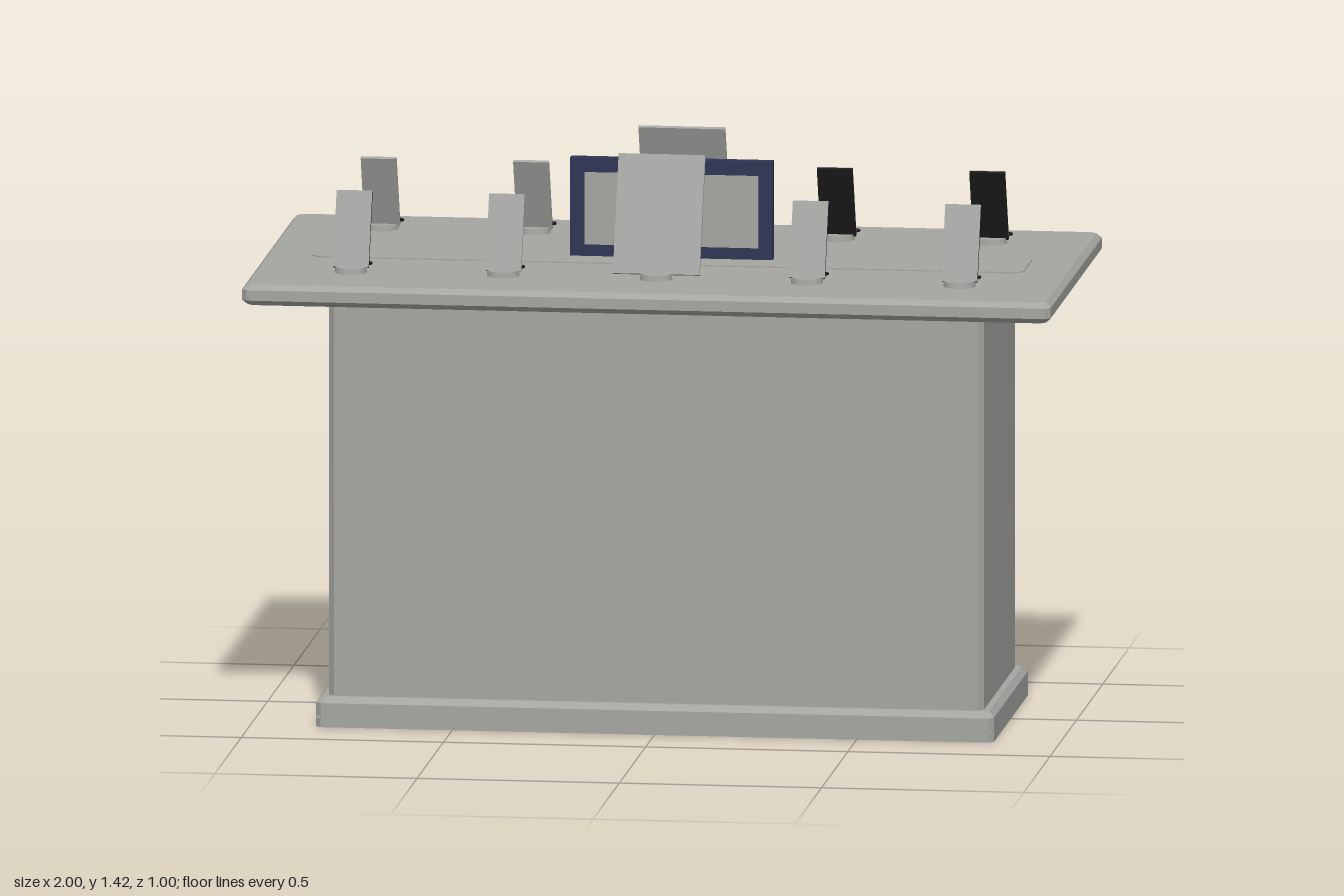
import * as THREE from 'three';

const grey = new THREE.MeshStandardMaterial({ color: 0xa5a5a2, side: THREE.DoubleSide });
grey.name = 'light grey';
const black = new THREE.MeshStandardMaterial({ color: 0x1c1c1c });
black.name = 'black';
const navy = new THREE.MeshStandardMaterial({ color: 0x2f3654 });
navy.name = 'navy';

function add(parent, name, geometry, material, x = 0, y = 0, z = 0) {
  const mesh = new THREE.Mesh(geometry, material);
  mesh.name = name;
  mesh.position.set(x, y, z);
  parent.add(mesh);
  return mesh;
}

// Block with chamfered corners, lofted through levels of [y, halfX, halfZ]
function chamferedBlock(levels, c, openBottom = false) {
  const positions = [];
  const index = [];
  for (const [y, x, z] of levels) {
    const ring = [
      [x, z - c], [x, c - z], [x - c, -z], [c - x, -z],
      [-x, c - z], [-x, z - c], [c - x, z], [x - c, z],
    ];
    for (const [px, pz] of ring) positions.push(px, y, pz);
  }
  const last = (levels.length - 1) * 8;
  for (let l = 0; l < last; l += 8) {
    for (let i = 0; i < 8; i++) {
      const j = (i + 1) % 8;
      index.push(l + i, l + j, l + 8 + j, l + i, l + 8 + j, l + 8 + i);
    }
  }
  for (let i = 1; i < 7; i++) {
    index.push(last, last + i, last + i + 1);
    if (!openBottom) index.push(0, i + 1, i);
  }
  const indexed = new THREE.BufferGeometry();
  indexed.setAttribute('position', new THREE.Float32BufferAttribute(positions, 3));
  indexed.setIndex(index);
  const geometry = indexed.toNonIndexed();
  geometry.computeVertexNormals();
  return geometry;
}

// Device leaning back on a round foot, screen towards its own +z
function createDevice(name, width, length, casing) {
  const device = new THREE.Group();
  device.name = name;
  add(device, 'foot', new THREE.CylinderGeometry(0.038, 0.04, 0.014, 24), grey, 0, 1.137, 0);
  const panel = new THREE.Group();
  panel.name = 'panel';
  panel.position.set(0, 1.142, 0);
  panel.rotation.x = -0.373;
  add(panel, 'casing', new THREE.BoxGeometry(width, length, 0.008), casing, 0, length / 2, -0.004);
  add(panel, 'screen', new THREE.BoxGeometry(width, length, 0.002), grey, 0, length / 2, 0.001);
  device.add(panel);
  return device;
}

// Bent cable lying on the counter
function createCable(x, z) {
  const path = new THREE.CurvePath();
  const points = [[0.005, 1.139, -0.03], [0.04, 1.135, -0.1], [-0.022, 1.133, -0.155]]
    .map(([px, py, pz]) => new THREE.Vector3(x + px, py, z + pz));
  path.add(new THREE.LineCurve3(points[0], points[1]));
  path.add(new THREE.LineCurve3(points[1], points[2]));
  return new THREE.TubeGeometry(path, 24, 0.0035, 6);
}

export function createModel() {
  const model = new THREE.Group();
  model.name = 'displayCounter';

  // Plinth, hollow underneath
  add(model, 'plinth', chamferedBlock(
    [[0, 0.838, 0.335], [0.06, 0.838, 0.335], [0.075, 0.825, 0.322]], 0.013, true), grey);
  add(model, 'plinthFloor', new THREE.BoxGeometry(1.672, 0.006, 0.666), grey, 0, 0.025, 0);

  // Cabinet body and counter top
  add(model, 'body', chamferedBlock(
    [[0.07, 0.81, 0.31], [1.062, 0.81, 0.31], [1.076, 0.797, 0.297]], 0.014), grey);
  add(model, 'counterTop', chamferedBlock(
    [[1.076, 0.987, 0.487], [1.089, 1, 0.5], [1.115, 1, 0.5], [1.128, 0.987, 0.487]], 0.013), grey);

  // Thin raised strip along the middle
  add(model, 'centreStrip', chamferedBlock(
    [[1.127, 0.88, 0.1], [1.131, 0.88, 0.1]], 0.02), grey);

  // Upright monitor
  add(model, 'monitor', new THREE.BoxGeometry(0.5, 0.246, 0.025), navy, 0, 1.253, 0);
  add(model, 'monitorScreen', new THREE.BoxGeometry(0.43, 0.18, 0.003), grey, 0, 1.25, 0.0135);

  // Two rows of devices, facing outwards
  const xs = [-0.755, -0.378, 0, 0.373, 0.75];
  const rows = [
    { name: 'front', z: 0.3, turn: 0, casings: [black, grey, grey, navy, black] },
    { name: 'back', z: -0.3, turn: Math.PI, casings: [grey, grey, grey, black, black] },
  ];
  for (const row of rows) {
    xs.forEach((x, i) => {
      const tablet = i === 2;
      const device = createDevice(
        row.name + (tablet ? 'Tablet' : 'Phone'),
        tablet ? 0.214 : 0.088, tablet ? 0.3 : 0.192, row.casings[i]);
      device.position.set(x, 0, row.z);
      device.rotation.y = row.turn;
      model.add(device);
      add(model, row.name + 'Cable', createCable(x, row.z), black);
    });
  }
  return model;
}
